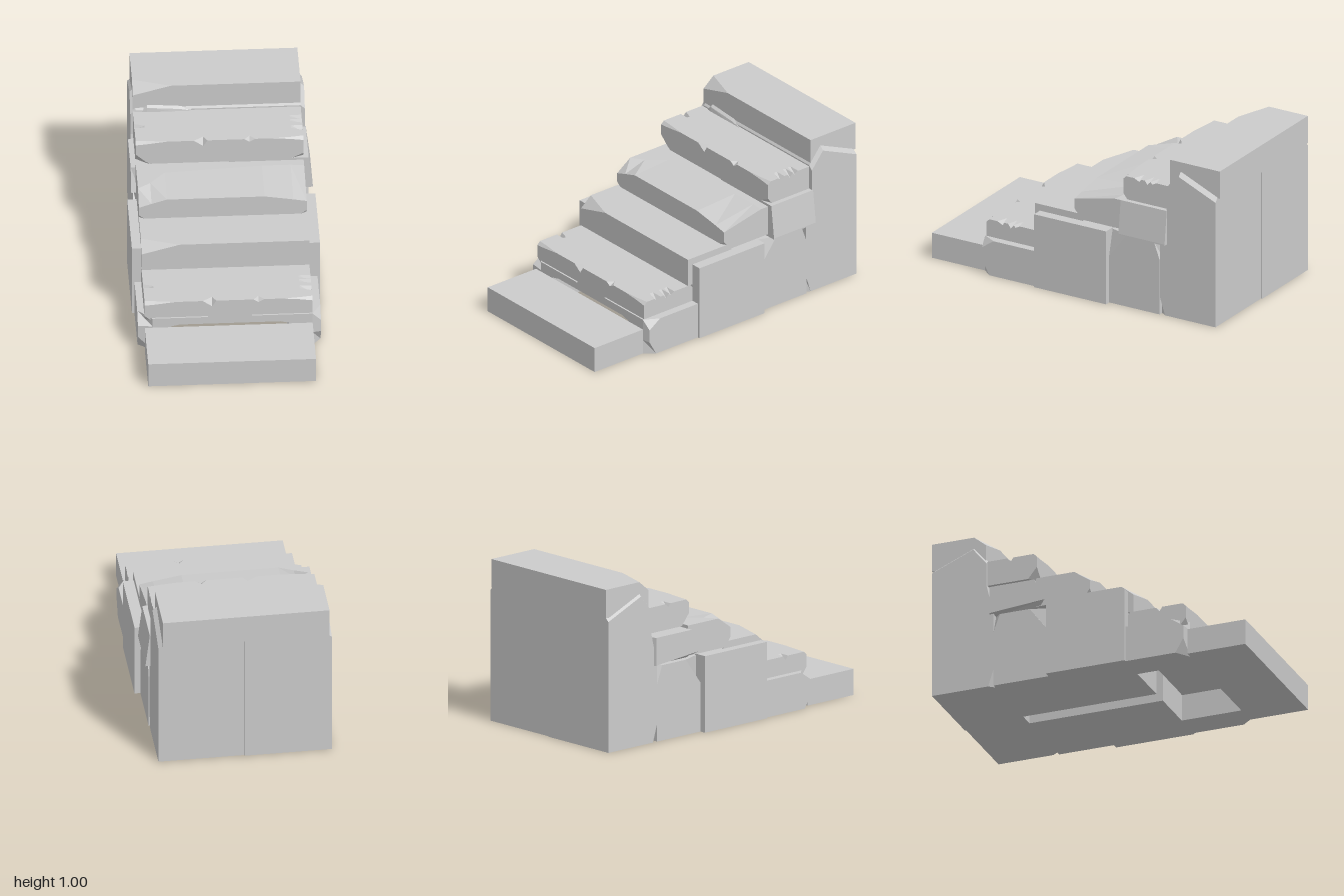
import * as THREE from 'three';

const material = new THREE.MeshStandardMaterial({ color: 0xcccccc, flatShading: true, roughness: 0.9 });

// Skin a list of equal-length cross-sections, ordered by rising x; each is { x, p: [[z, y], ...] }
function loft(name, sections) {
  const pos = [];
  const tri = (...corners) => corners.forEach((c) => pos.push(...c));
  const rings = sections.map(({ x, p }) => p.map(([z, y]) => [x, y, z]));
  const n = rings[0].length;
  for (let i = 0; i < rings.length - 1; i++) {
    for (let j = 0; j < n; j++) {
      const k = (j + 1) % n;
      const [a, b, c, d] = [rings[i][j], rings[i][k], rings[i + 1][k], rings[i + 1][j]];
      tri(a, b, c);
      tri(a, c, d);
    }
  }
  // end caps fan out from the middle of each end
  const cap = (ring, flip) => {
    const mid = [0, 1, 2].map((a) => ring.reduce((s, v) => s + v[a], 0) / n);
    for (let j = 0; j < n; j++) {
      const k = (j + 1) % n;
      if (flip) tri(mid, ring[k], ring[j]);
      else tri(mid, ring[j], ring[k]);
    }
  };
  cap(rings[0], true);
  cap(rings[rings.length - 1], false);
  const g = new THREE.BufferGeometry();
  g.setAttribute('position', new THREE.Float32BufferAttribute(pos, 3));
  g.computeVertexNormals();
  const mesh = new THREE.Mesh(g, material);
  mesh.name = name;
  return mesh;
}

// Distances behind the front edge where the top of a tread may be dented
const DENTS = [0.23, 0.21, 0.19, 0.17, 0.15, 0.125, 0.1, 0.075];

// Stone tread. Rows: x, drop and setback of the front top edge, lift of the front bottom edge,
// back edge drop, and indices of dents
function tread(name, y0, y1, front, back, rows) {
  return loft(name, rows.map(([x, drop = 0, setback = 0, lift = 0, backDrop = 0, dents = []]) => ({
    x,
    p: [
      [front - lift * 0.8, y0],
      [back, y0],
      [back, y1 - backDrop],
      [back + 0.015, y1],
      ...DENTS.map((d, i) => [front - Math.max(d, setback), y1 - (dents.includes(i) ? 0.03 : 0)]),
      [front - setback, y1],
      [front, y1 - drop],
      [front, y0 + lift],
    ],
  })));
}

// Side stone: sections run from the inside outward; side -1 mirrors it
function sideStone(name, side, sections) {
  const s = sections.map(([x, p]) => ({ x: side * x, p }));
  return loft(name, side < 0 ? s.reverse() : s);
}

const rect = (z0, z1, y0, y1) => [[z0, y0], [z1, y0], [z1, y1], [z0, y1]];

export function createModel() {
  const model = new THREE.Group();
  model.name = 'stoneStairs';
  const L = -0.505, R = 0.49;

  // Lowest tread
  model.add(loft('bottomTread', [L, R].map((x) => ({ x, p: rect(1, 0.63, 0, 0.16) }))));

  // Treads with nicked edges
  const nicked = [
    [L, 0.02, 0.02, 0.07, 0.02, [3]],
    [-0.445, 0.015, 0.015, 0.015, 0.02],
    [-0.42, 0.012, 0.012, 0, 0.015],
    [-0.32],
    [-0.16],
    [-0.105, 0.04, 0.04],
    [-0.08],
    [0.04],
    [0.08, 0, 0, 0, 0.02],
    [0.11],
    [0.14],
    [0.17, 0.02, 0.035],
    [0.205],
    [0.31],
    [0.4, 0.008, 0.008, 0, 0.01],
    [0.42, 0.01, 0.01, 0.01, 0.01],
    [R, 0.02, 0.02, 0.045, 0.02, [1, 3, 6]],
  ];
  model.add(tread('secondTread', 0.17, 0.335, 0.62, 0.25, nicked));
  model.add(tread('fifthTread', 0.665, 0.822, -0.33, -0.66, nicked));

  // Treads with one broken front corner
  const broken = [[L, 0.062, 0.075], [-0.28], [R]];
  model.add(tread('thirdTread', 0.335, 0.51, 0.285, -0.05, broken));
  model.add(tread('topTread', 0.82, 0.995, -0.655, -1, broken));

  // Worn tread with a wide sloping front edge
  model.add(tread('fourthTread', 0.475, 0.66, 0.008, -0.335, [
    [L, 0.07, 0.1, 0.06],
    [-0.43, 0.045, 0.15, 0],
    [-0.34, 0.017, 0.25, 0],
    [0.24, 0.017, 0.29, 0],
    [0.41, 0.045, 0.29, 0],
    [R, 0.06, 0.28, 0.06],
  ]));

  // Broken sliver on the fifth tread
  model.add(loft('brokenSliver', [[-0.47, 0.825], [-0.42, 0.875], [-0.23, 0.86], [-0.1, 0.83]].map(
    ([x, y]) => ({ x, p: [[-0.635, 0.815], [-0.67, 0.815], [-0.67, y], [-0.64, y - 0.025]] }))));

  for (const side of [1, -1]) {
    const word = side > 0 ? 'left' : 'right';
    const add = (part, sections) => model.add(sideStone(word + part, side, sections));

    // Front stone, with a hollow inner side and chipped outer corner
    const frontInner = (y) => [
      [0.63, y], [0.25, y], [0.25, 0.225], [0.63, 0.225], [0.63, Math.max(y, 0.17)], [0.63, Math.max(y, 0.09)],
    ];
    const frontOuter = [[0.57, 0], [0.25, 0], [0.25, 0.225], [0.54, 0.225], [0.62, 0.17], [0.62, 0.09]];
    add('FrontStone', [
      [0.13, frontInner(0.218)],
      [0.35, frontInner(0.165)],
      [0.351, frontInner(0)],
      [side > 0 ? 0.49 : 0.46, frontInner(0)],
      [side > 0 ? 0.54 : 0.545, frontOuter],
    ]);

    // Middle stone
    const middle = rect(0.25, -0.25, 0, 0.468);
    add('MiddleStone', [[0.05, middle], [side > 0 ? 0.555 : 0.56, middle]]);

    // Recessed stone with broken upper corners
    const recessInner = [[-0.25, 0], [-0.6, 0], [-0.6, 0.35], [-0.6, 0.46], [-0.25, 0.46], [-0.25, 0.3]];
    const recessOuter = [[-0.25, 0], [-0.6, 0], [-0.6, 0.35], [-0.56, 0.46], [-0.37, 0.46], [-0.25, 0.3]];
    add('RecessedStone', [[0.05, recessInner], [0.48, recessInner], [0.52, recessOuter]]);

    // Upper stone, leaning outward at its foot on one side
    if (side > 0) {
      add('UpperStone', [
        [0.05, rect(-0.33, -0.65, 0.46, 0.675)],
        [0.52, rect(-0.33, -0.65, 0.46, 0.675)],
        [0.545, rect(-0.33, -0.65, 0.46, 0.468)],
      ]);
    } else {
      const upperOuter = [[-0.27, 0.5], [-0.62, 0.47], [-0.62, 0.64], [-0.335, 0.64]];
      add('UpperStone', [[0.05, rect(-0.335, -0.64, 0.46, 0.64)], [0.48, rect(-0.335, -0.64, 0.46, 0.64)], [0.535, upperOuter]]);
    }

    // Tall rear stone with a sloping top
    const back = side > 0 ? -0.985 : -0.993;
    const rear = (foot, cut) => [
      [-0.6 - foot, 0], [back, 0], [back, 0.825 - cut], [-0.73, 0.935 - cut],
      [-0.645, 0.83 - cut], [-0.645, 0.66], [-0.6, 0.47], [-0.6, 0.11],
    ];
    add('RearStone', [[0, rear(0, 0)], [0.49, rear(0, 0)], [side > 0 ? 0.515 : 0.52, rear(0.035, 0.025)]]);
  }
  return model;
}
